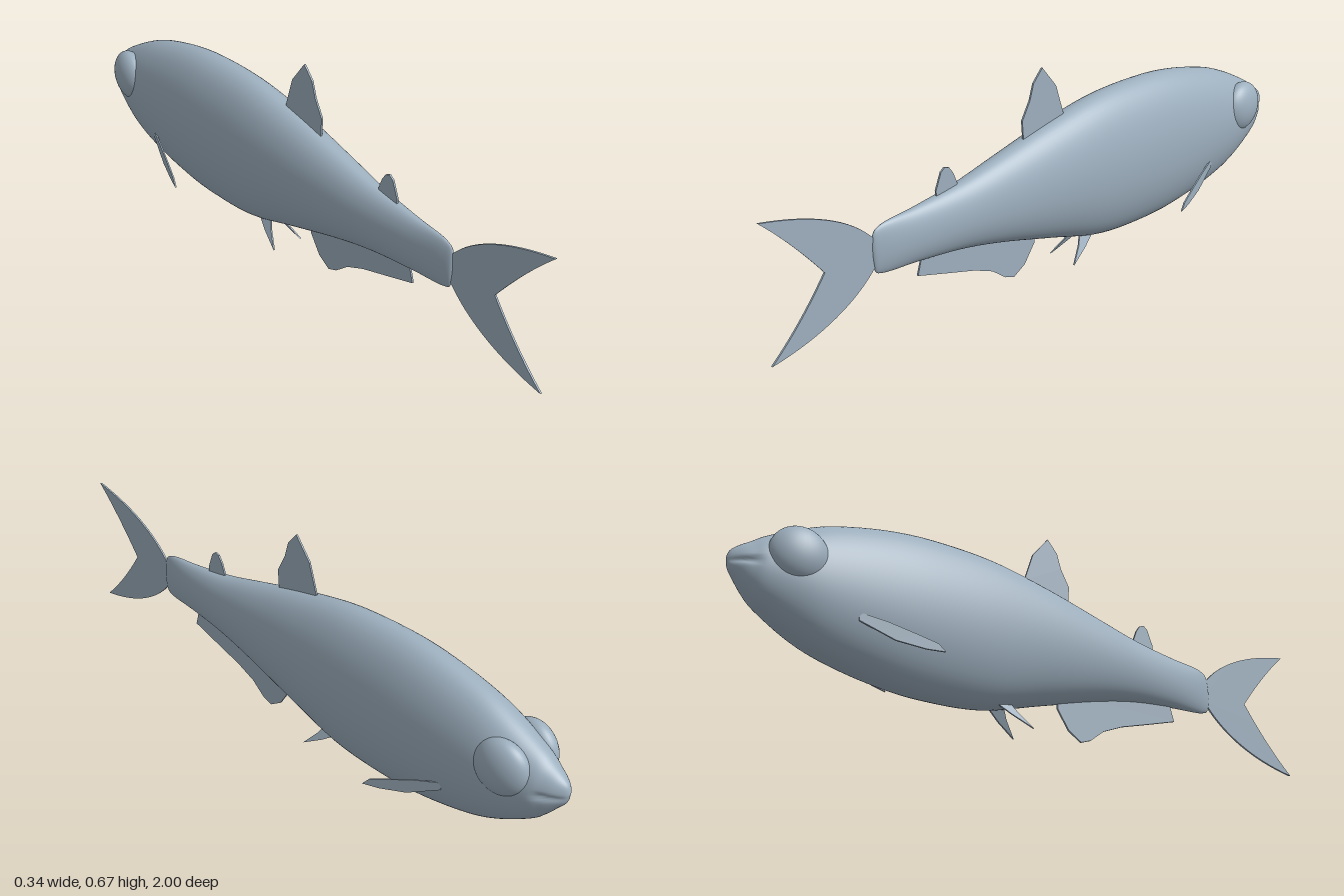
import * as THREE from 'three';

const skin = new THREE.MeshStandardMaterial({ color: 0x9dafbe });
skin.name = 'slate skin';

// Body stations: z, top, bottom, half width
const stations = [
  [-1, 0.29, 0.29, 0], [-0.992, 0.315, 0.262, 0.016], [-0.97, 0.335, 0.235, 0.036],
  [-0.94, 0.355, 0.2, 0.054], [-0.9, 0.383, 0.165, 0.071], [-0.8, 0.436, 0.108, 0.096],
  [-0.7, 0.475, 0.071, 0.106], [-0.55, 0.51, 0.041, 0.113], [-0.4, 0.525, 0.03, 0.115],
  [-0.2, 0.52, 0.044, 0.11], [0, 0.485, 0.102, 0.096], [0.2, 0.437, 0.16, 0.075],
  [0.35, 0.402, 0.193, 0.056], [0.5, 0.381, 0.21, 0.037], [0.59, 0.374, 0.215, 0.024],
  [0.63, 0.366, 0.22, 0.016], [0.652, 0.348, 0.234, 0.009], [0.66, 0.295, 0.295, 0],
];

function bodyGeometry() {
  const curve = (k) => new THREE.SplineCurve(stations.map((s) => new THREE.Vector2(s[0], s[k])));
  const [top, bottom, width] = [curve(1), curve(2), curve(3)];
  const rings = 102, sides = 64, pos = [], idx = [];
  for (let i = 0; i <= rings; i++) {
    const t = i / rings, p = top.getPoint(t), b = bottom.getPoint(t).y;
    const w = Math.max(0, width.getPoint(t).y), c = (p.y + b) / 2, h = (p.y - b) / 2;
    // Mouth crease fades out behind the snout
    const crease = 0.2 * THREE.MathUtils.smoothstep(-p.x, 0.91, 0.95);
    for (let j = 0; j < sides; j++) {
      const a = (j / sides) * Math.PI * 2, y = c + h * Math.sin(a);
      const dip = 1 - crease * Math.exp(-(((y - 0.28) / 0.008) ** 2));
      pos.push(w * Math.cos(a) * dip, y, p.x);
      if (i < rings) {
        const k = (j + 1) % sides, r = i * sides, n = r + sides;
        idx.push(r + j, r + k, n + j, r + k, n + k, n + j);
      }
    }
  }
  const g = new THREE.BufferGeometry();
  g.setAttribute('position', new THREE.Float32BufferAttribute(pos, 3));
  g.setIndex(idx);
  g.computeVertexNormals();
  return g;
}

// Thin fin drawn as (z, y), with an optional sideways lean
function fin(name, shape, lean = () => 0, depth = 0.006) {
  const g = new THREE.ExtrudeGeometry(shape, { depth, bevelEnabled: false, curveSegments: 16 });
  g.translate(0, 0, -depth / 2).rotateY(-Math.PI / 2);
  const p = g.attributes.position;
  for (let i = 0; i < p.count; i++) p.setX(i, p.getX(i) + lean(p.getY(i), p.getZ(i)));
  g.computeVertexNormals();
  const mesh = new THREE.Mesh(g, skin);
  mesh.name = name;
  return mesh;
}

const outline = (pts) => new THREE.Shape(pts.map(([z, y]) => new THREE.Vector2(z, y)));

export function createModel() {
  const fish = new THREE.Group();
  fish.name = 'fish';

  const body = new THREE.Mesh(bodyGeometry(), skin);
  body.name = 'body';
  fish.add(body);

  // Forked tail
  const tail = new THREE.Shape();
  tail.moveTo(0.62, 0.32);
  tail.lineTo(0.65, 0.335);
  tail.bezierCurveTo(0.72, 0.42, 0.84, 0.475, 1, 0.505);
  tail.quadraticCurveTo(0.91, 0.42, 0.815, 0.293);
  tail.quadraticCurveTo(0.9, 0.17, 1, 0.08);
  tail.bezierCurveTo(0.84, 0.105, 0.72, 0.165, 0.65, 0.25);
  tail.lineTo(0.62, 0.265);
  fish.add(fin('tailFin', tail));

  // Fins on the centre line
  fish.add(fin('dorsalFin', outline([[-0.04, 0.45], [-0.06, 0.5], [-0.03, 0.595], [0.025, 0.665],
    [0.06, 0.625], [0.075, 0.575], [0.105, 0.52], [0.1, 0.44]])));
  fish.add(fin('adiposeFin', outline([[0.36, 0.38], [0.355, 0.405], [0.368, 0.44], [0.382, 0.461],
    [0.398, 0.467], [0.412, 0.456], [0.424, 0.425], [0.432, 0.405], [0.43, 0.375]])));
  fish.add(fin('analFin', outline([[0.06, 0.16], [0.06, 0.105], [0.1, 0.045], [0.145, 0.017],
    [0.18, 0.03], [0.23, 0.07], [0.3, 0.1], [0.4, 0.13], [0.508, 0.163], [0.49, 0.225]])));

  // Paired fins and eyes
  for (const [side, label] of [[1, 'left'], [-1, 'right']]) {
    fish.add(fin(label + 'PectoralFin', outline([[-0.655, 0.19], [-0.65, 0.165], [-0.555, 0.12],
      [-0.475, 0.105], [-0.425, 0.103], [-0.445, 0.125], [-0.5, 0.145], [-0.58, 0.172]]),
    (y, z) => side * (0.105 + (z + 0.62) * 0.33), 0.005));
    fish.add(fin(label + 'PelvicFin', outline([[-0.165, 0.062], [-0.125, 0.035], [-0.06, 0],
      [-0.1, 0.045], [-0.115, 0.07]]), (y) => side * (0.053 - y * 0.47), 0.005));

    const eye = new THREE.Mesh(new THREE.SphereGeometry(1, 32, 24), skin);
    eye.name = label + 'Eye';
    eye.scale.set(0.047, 0.084, 0.084);
    eye.position.set(side * 0.066, 0.322, -0.825);
    eye.rotation.y = side * 0.12;
    fish.add(eye);
  }
  return fish;
}
